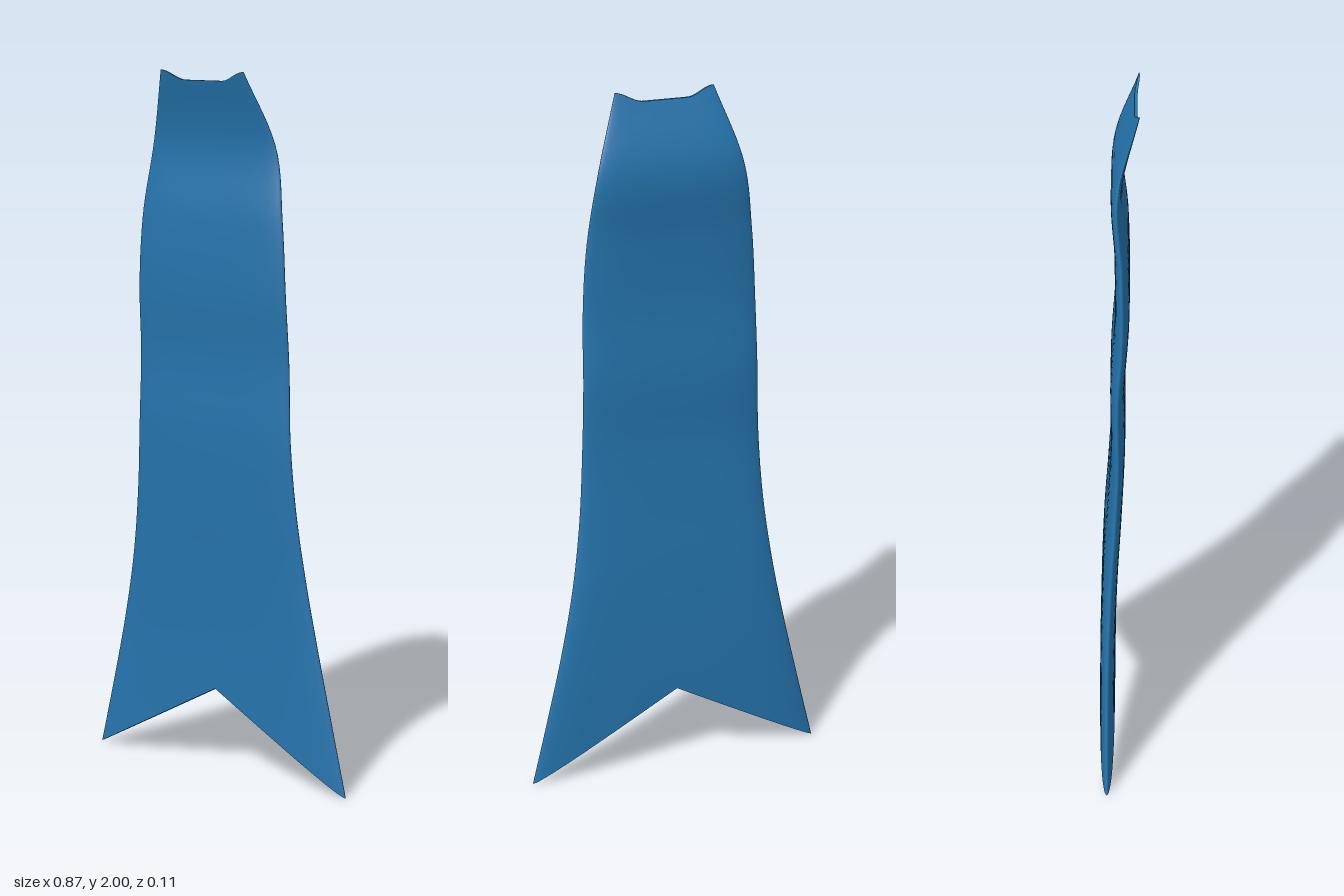
import * as THREE from 'three';

// Profiles sampled every 0.2 units of height, from the hem up to the collar
const WIDTH = [0.436, 0.388, 0.342, 0.303, 0.276, 0.262, 0.256, 0.251, 0.238, 0.207, 0.14];
const CENTRE = [-0.033, -0.033, -0.031, -0.024, -0.012, -0.003, -0.004, 0.008, 0.006, -0.005, 0.051];
const THICK = [0.022, 0.022, 0.022, 0.022, 0.021, 0.02, 0.02, 0.02, 0.019, 0.014, 0.004];
const ROWS = 72, RING = 64;

// Catmull-Rom lookup in an evenly spaced profile
function sample(profile, y) {
  const s = THREE.MathUtils.clamp(y / 0.2, 0, 10);
  const i = Math.min(Math.floor(s), 9), f = s - i;
  const p1 = profile[i], p2 = profile[i + 1];
  const p0 = i > 0 ? profile[i - 1] : 2 * p1 - p2;
  const p3 = i < 9 ? profile[i + 2] : 2 * p2 - p1;
  return p1 + 0.5 * f * (p2 - p0 + f * (2 * p0 - 5 * p1 + 4 * p2 - p3 + f * (3 * (p1 - p2) + p3 - p0)));
}

// Point on the cloth: t runs up the edge, ring index j runs around the section
function clothPoint(t, j) {
  const a = (j / RING) * Math.PI * 2;
  const u = Math.cos(a), au = Math.abs(u);
  const edgeY = 2 * t;
  const notch = 0.245 * (1 - au) * Math.pow(1 - t, 2);
  const dip = 0.026 * (1 - THREE.MathUtils.smoothstep(au, 0.45, 1)) * Math.pow(t, 12);
  const y = edgeY + notch - dip;
  const swell = Math.sqrt(Math.max(0, 1 - u ** 4)) * (Math.sin(a) < 0 ? -1 : 1);
  return [u * sample(WIDTH, edgeY), y, sample(CENTRE, y) - sample(THICK, edgeY) * swell];
}

function makeGeometry(positions, index) {
  const g = new THREE.BufferGeometry();
  g.setAttribute('position', new THREE.Float32BufferAttribute(positions, 3));
  g.setIndex(index);
  g.computeVertexNormals();
  return g;
}

// Smooth closed skin, front and back in one
function skinGeometry() {
  const pos = [], idx = [];
  for (let r = 0; r <= ROWS; r++) {
    for (let j = 0; j < RING; j++) pos.push(...clothPoint(r / ROWS, j));
  }
  for (let r = 0; r < ROWS; r++) {
    for (let j = 0; j < RING; j++) {
      const k = (j + 1) % RING;
      const a = r * RING + j, b = r * RING + k, c = a + RING, d = b + RING;
      idx.push(a, c, b, b, c, d);
    }
  }
  return flipIfNeeded(pos, idx);
}

// Makes the skin's triangles face outwards, judged by its enclosed volume
function flipIfNeeded(pos, idx) {
  const p = (i) => new THREE.Vector3().fromArray(pos, i * 3);
  let volume = 0;
  for (let i = 0; i < idx.length; i += 3) {
    volume += p(idx[i]).dot(p(idx[i + 1]).cross(p(idx[i + 2])));
  }
  return makeGeometry(pos, volume < 0 ? idx.slice().reverse() : idx);
}

// Strip joining front and back across an open end
function endGeometry(t) {
  const pos = [], idx = [], half = RING / 2;
  for (let j = 0; j <= half; j++) {
    pos.push(...clothPoint(t, j), ...clothPoint(t, (RING - j) % RING));
  }
  for (let j = 0; j < half; j++) {
    const a = j * 2;
    if (t === 0) idx.push(a, a + 1, a + 2, a + 1, a + 3, a + 2);
    else idx.push(a, a + 2, a + 1, a + 1, a + 2, a + 3);
  }
  return makeGeometry(pos, idx);
}

export function createModel() {
  const blue = new THREE.MeshStandardMaterial({ color: 0x2574ad, side: THREE.DoubleSide });
  blue.name = 'blue cloth';
  const group = new THREE.Group();
  group.name = 'cape';
  const add = (name, geometry) => {
    const mesh = new THREE.Mesh(geometry, blue);
    mesh.name = name;
    group.add(mesh);
  };
  add('capeCloth', skinGeometry());
  add('notchedHem', endGeometry(0));
  add('collarEdge', endGeometry(1));
  return group;
}
